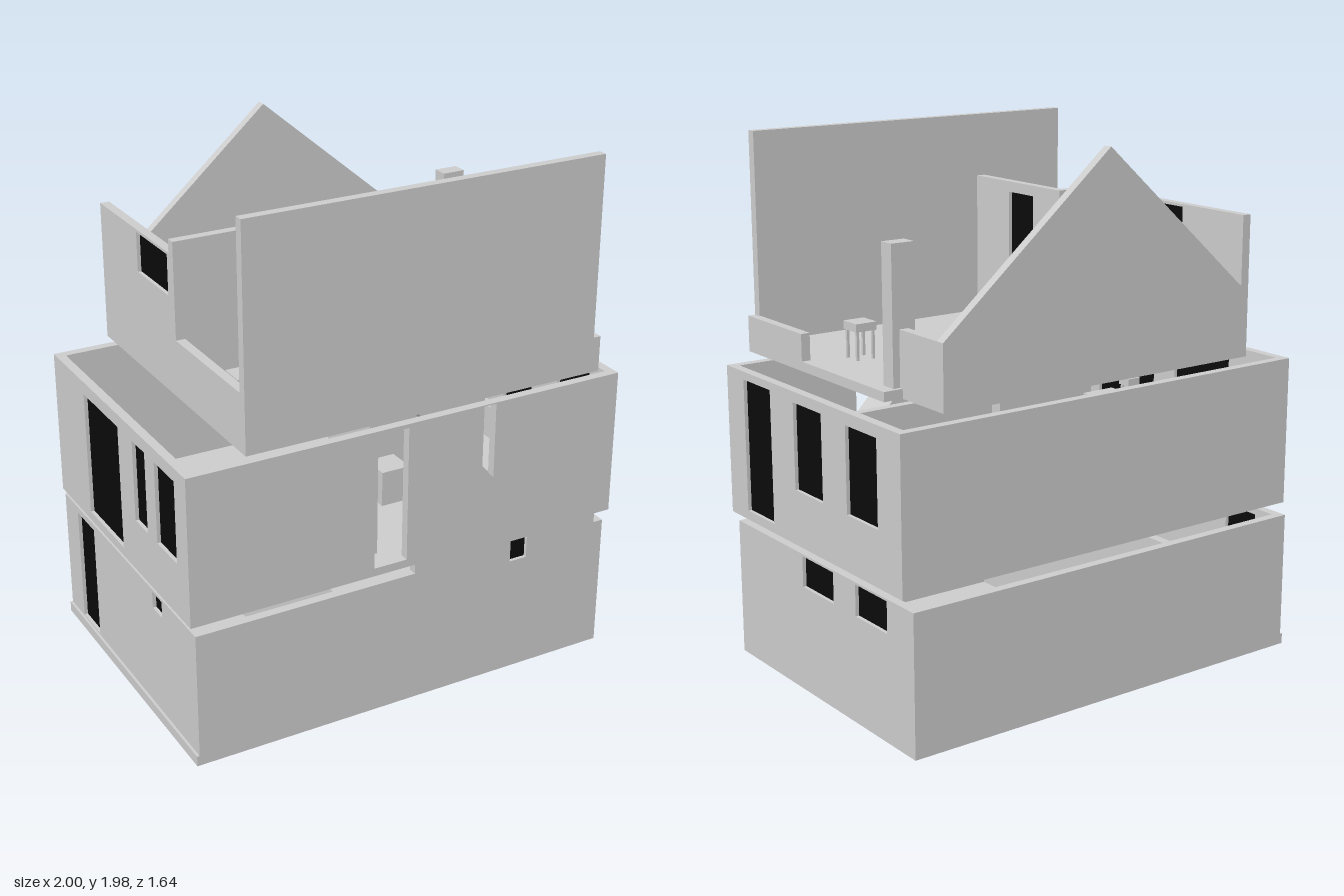
import * as THREE from 'three';

const grey = new THREE.MeshStandardMaterial({ color: 0xcccccc, side: THREE.DoubleSide });
const black = new THREE.MeshStandardMaterial({ color: 0x0a0a0a });
const T = 0.035; // wall thickness

const rect = (a0, y0, a1, y1) => [[a0, y0], [a1, y0], [a1, y1], [a0, y1]];
const toPath = (pts, Type) => new Type(pts.map(p => new THREE.Vector2(p[0], p[1])));

function box(parent, name, x0, x1, y0, y1, z0, z1, mat = grey) {
  const m = new THREE.Mesh(new THREE.BoxGeometry(x1 - x0, y1 - y0, z1 - z0), mat);
  m.position.set((x0 + x1) / 2, (y0 + y1) / 2, (z0 + z1) / 2);
  m.name = name;
  parent.add(m);
  return m;
}

// A wall along 'x' or 'z' starting at `at` across its thickness.
// glazed: rectangles [a0, y0, a1, y1] with a dark pane; open: free outlines cut through.
function wall(parent, name, axis, at, outline, glazed = [], open = []) {
  const g = new THREE.Group();
  g.name = name;
  const shape = toPath(outline, THREE.Shape);
  for (const r of glazed) shape.holes.push(toPath(rect(...r), THREE.Path));
  for (const o of open) shape.holes.push(toPath(o, THREE.Path));
  const m = new THREE.Mesh(new THREE.ExtrudeGeometry(shape, { depth: T, bevelEnabled: false }), grey);
  m.name = name + 'Panel';
  if (axis === 'x') m.position.z = at;
  else { m.rotation.y = -Math.PI / 2; m.position.x = at + T; }
  g.add(m);
  const p0 = at + T * 0.4, p1 = at + T * 0.6;
  for (const [a0, y0, a1, y1] of glazed) {
    if (axis === 'x') box(g, 'pane', a0, a1, y0, y1, p0, p1, black);
    else box(g, 'pane', p0, p1, y0, y1, a0, a1, black);
  }
  parent.add(g);
}

// Small table with four thin legs
function table(parent, name, x, z, y, w, d, h, top = 0.03) {
  const g = new THREE.Group();
  g.name = name;
  box(g, 'tableTop', -w / 2, w / 2, h - top, h, -d / 2, d / 2);
  for (const sx of [-1, 1]) for (const sz of [-1, 1]) {
    const cx = sx * (w / 2 - 0.01), cz = sz * (d / 2 - 0.01);
    box(g, 'tableLeg', cx - 0.005, cx + 0.005, 0, h - top, cz - 0.005, cz + 0.005);
  }
  g.position.set(x, y, z);
  parent.add(g);
}

function lowerStorey() {
  const g = new THREE.Group();
  g.name = 'lowerStorey';
  const x0 = -0.85, x1 = 0.845, z0 = -0.595, z1 = 0.588, top = 0.525;
  box(g, 'lowerFloor', x0 - 0.01, x1, 0, 0.04, z0, z1);
  // front wall with a taller middle section
  wall(g, 'lowerFrontWall', 'x', z1 - T,
    [[x0, 0.0], [x1, 0.0], [x1, top], [0.805, top], [0.805, 0.565], [0.016, 0.565], [0.016, top], [x0, top]],
    [[0.428, 0.46, 0.5, 0.545]]);
  wall(g, 'lowerBackWall', 'x', z0, rect(x0, 0, x1, top));
  wall(g, 'lowerRightWall', 'z', x1 - T, rect(z0, 0, z1, top),
    [[-0.09, 0.4, 0.12, 0.517], [-0.434, 0.4, -0.235, 0.517]]);
  wall(g, 'lowerLeftWall', 'z', x0, rect(z0, 0, z1, top),
    [[-0.47, 0.045, -0.31, 0.5], [0.23, 0.45, 0.31, 0.515]]);
  wall(g, 'lowerPartition', 'z', -0.3, rect(z0 + T, 0.04, z1 - T, top));
  return g;
}

function middleStorey() {
  const g = new THREE.Group();
  g.name = 'middleStorey';
  const x0 = -0.868, x1 = 0.868, z0 = -0.567, z1 = 0.592, y0 = 0.565, y1 = 1.13;
  box(g, 'middleFloor', x0, x1, y0, 0.595, z0, z1);
  // front wall with a tall opening and a triangular stair opening
  wall(g, 'middleFrontWall', 'x', z1 - T, rect(x0, y0, x1, y1), [],
    [rect(-0.155, 0.596, -0.022, 1.115), [[0.06, 1.125], [0.336, 0.835], [0.336, 1.125]]]);
  wall(g, 'middleBackWall', 'x', z0, rect(x0, y0, x1, y1));
  wall(g, 'middleRightWall', 'z', x1 - T, rect(z0, y0, z1, y1),
    [[0.275, 0.6, 0.468, 1.1], [-0.075, 0.77, 0.113, 1.09], [-0.425, 0.77, -0.232, 1.085]]);
  wall(g, 'middleLeftWall', 'z', x0, rect(z0, y0, z1, y1),
    [[-0.28, 0.6, 0.03, 1.08], [0.155, 0.77, 0.26, 1.08], [0.34, 0.77, 0.5, 1.08]]);
  // sloping stair, running down behind the triangular opening
  const run = 0.33, rise = 0.345;
  const ramp = box(g, 'stair', -Math.hypot(run, rise) / 2, Math.hypot(run, rise) / 2, -0.006, 0.006, -0.06, 0.06);
  ramp.position.set(0.02 + run / 2, 1.165 - rise / 2, 0.49);
  ramp.rotation.z = -Math.atan2(rise, run);
  // partitions and furniture
  wall(g, 'stairPartition', 'z', -0.125, rect(0.2, 0.595, 0.5, 1.115));
  box(g, 'shelf', -0.09, 0.02, 0.8, 0.93, 0.42, 0.53);
  wall(g, 'backPartition', 'x', 0.1, rect(0.02, 0.595, 0.6, 1.01));
  box(g, 'cupboard', -0.83, -0.75, 0.595, 0.95, -0.52, -0.3);
  table(g, 'diningTable', -0.74, 0.22, 0.595, 0.15, 0.36, 0.23);
  table(g, 'stool', -0.81, 0.28, 0.825, 0.06, 0.06, 0.07);
  box(g, 'windowBench', 0.78, 0.82, 0.595, 0.73, -0.32, 0.1);
  box(g, 'cornerCabinet', 0.67, 0.82, 0.595, 0.75, -0.53, -0.36);
  return g;
}

function upperStorey() {
  const g = new THREE.Group();
  g.name = 'upperStorey';
  const x0 = -0.655, x1 = 0.765, xr = 0.69, z0 = -0.555, zs = -0.315, z1 = 0.605, y0 = 1.165;
  // floor, stepped in at the back right
  box(g, 'upperFloor', x0, x1, y0, 1.2, zs, z1);
  box(g, 'upperFloorBack', x0, xr, y0, 1.2, z0, zs);
  wall(g, 'tallFrontWall', 'x', z1 - T, rect(x0, y0, 0.736, 1.98));
  wall(g, 'gableWall', 'x', z0, [[x0, y0], [xr, y0], [xr, 1.4], [0.0, 1.98], [x0, 1.4]]);
  // left wall steps down to a parapet
  wall(g, 'upperLeftWall', 'z', x0,
    [[z0, y0], [z1 - T, y0], [z1 - T, 1.38], [0.075, 1.38], [0.075, 1.69], [z0, 1.69]],
    [[-0.23, 1.53, 0.03, 1.68]]);
  wall(g, 'upperRightBackWall', 'z', xr - T, rect(z0, y0, zs + 0.02, 1.4));
  wall(g, 'upperRightParapet', 'z', x1 - T, rect(0.22, y0, z1, 1.3));
  box(g, 'column', 0.627, 0.717, 1.2, 1.69, -0.3, -0.24);
  // inner room
  wall(g, 'innerDoorWall', 'z', -0.287, rect(0.045, 1.2, z1 - T, 1.74), [[0.206, 1.205, 0.36, 1.7]]);
  wall(g, 'innerReturnWall', 'x', 0.045, rect(x0, 1.2, -0.255, 1.74));
  // furniture
  table(g, 'frontStool', 0.567, 0.145, 1.2, 0.085, 0.085, 0.135);
  table(g, 'backStool', -0.3, -0.47, 1.2, 0.1, 0.085, 0.135);
  table(g, 'sideTable', 0.505, -0.465, 1.2, 0.15, 0.085, 0.17, 0.04);
  box(g, 'bed', -0.48, -0.295, 1.2, 1.24, 0.1, 0.2);
  return g;
}

export function createModel() {
  const model = new THREE.Group();
  model.name = 'explodedHouse';
  const house = new THREE.Group();
  house.name = 'house';
  house.add(lowerStorey(), middleStorey(), upperStorey());
  house.rotation.y = -0.295;
  model.add(house);
  return model;
}
